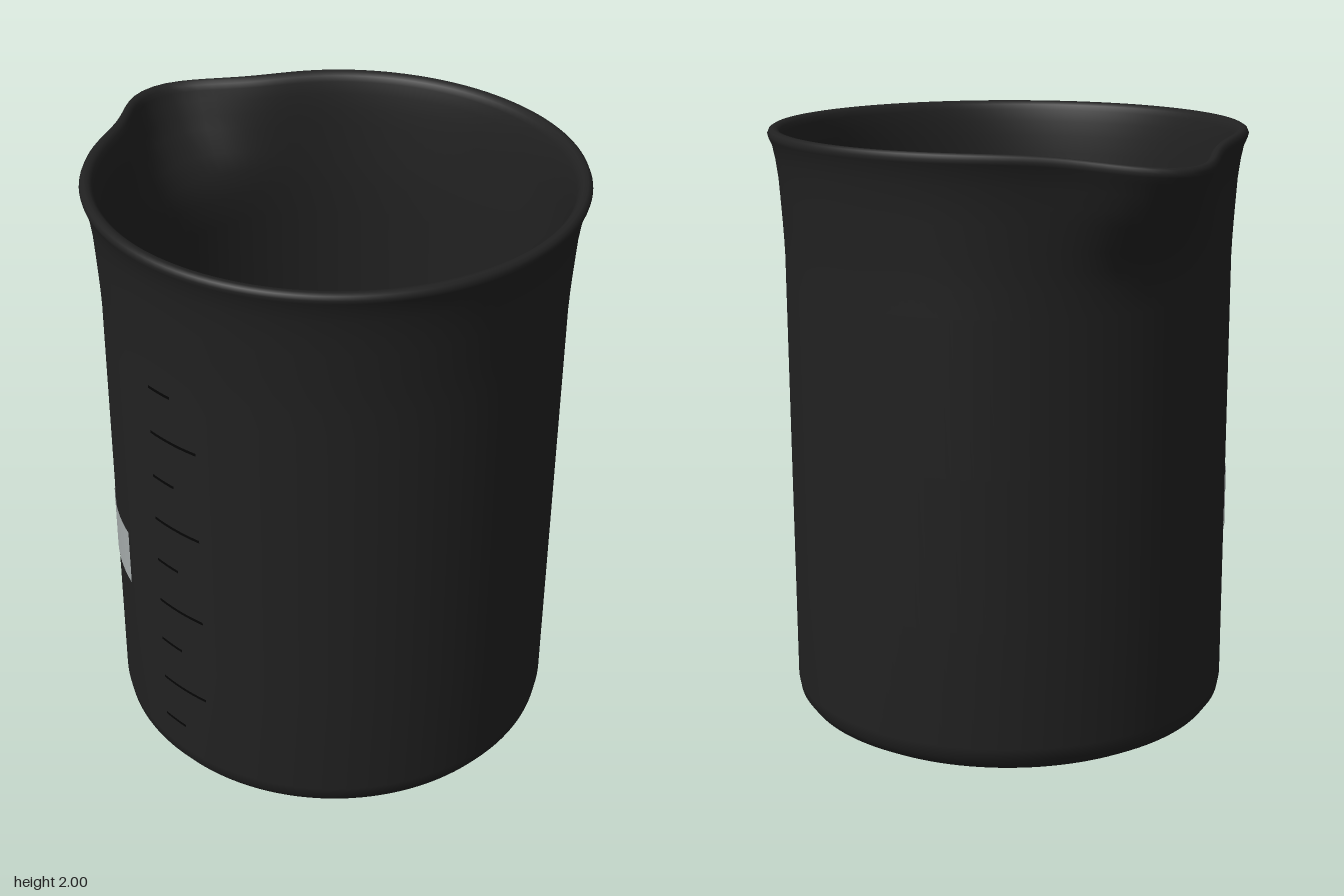
import * as THREE from 'three';
import { mergeVertices } from 'three/addons/utils/BufferGeometryUtils.js';

const CENTRE_X = 0.085;
const RADIUS = 0.74;
const SPOUT_REACH = 0.17;

const material = (name, color) => {
  const m = new THREE.MeshStandardMaterial({ color });
  m.name = name;
  return m;
};

// How far the spout has opened at height y (0 to 1)
function spoutOpening(y) {
  const steps = [[1.58, 0], [1.68, 0.16], [1.82, 0.75], [1.95, 1]];
  if (y <= steps[0][0]) return 0;
  for (let i = 1; i < steps.length; i++) {
    const [y0, v0] = steps[i - 1], [y1, v1] = steps[i];
    if (y < y1) return v0 + (v1 - v0) * (y - y0) / (y1 - y0);
  }
  return 1;
}

// Round vessel with a flared rim, pulled out into a spout on the -x side
function vesselGeometry() {
  const profile = [
    [0, 0], [0.5, 0], [0.61, 0.004], [0.67, 0.015], [0.71, 0.038], [0.733, 0.07], [0.74, 0.11],
    [0.74, 0.5], [0.74, 1], [0.74, 1.5], [0.74, 1.58], [0.742, 1.64], [0.745, 1.7], [0.75, 1.78], [0.754, 1.84],
    [0.762, 1.9], [0.771, 1.945], [0.782, 1.97], [0.785, 1.982], [0.78, 1.994], [0.77, 2],
    [0.756, 1.998], [0.745, 1.988], [0.737, 1.97], [0.728, 1.93], [0.72, 1.88], [0.714, 1.82],
    [0.708, 1.74], [0.704, 1.68], [0.7, 1.6], [0.7, 1.5], [0.7, 0.8], [0.7, 0.13], [0.68, 0.07], [0.62, 0.045], [0, 0.04],
  ].map(([r, y]) => new THREE.Vector2(r, y));
  let geo = new THREE.LatheGeometry(profile, 128);
  const p = geo.attributes.position;
  for (let i = 0; i < p.count; i++) {
    const x = p.getX(i), y = p.getY(i), z = p.getZ(i);
    const r = Math.hypot(x, z);
    if (r < 0.5) continue;
    const angle = Math.atan2(z, -x);
    const scale = 1 + SPOUT_REACH * spoutOpening(y) * Math.exp(-((angle / 0.267) ** 2)) / r;
    const dip = 0.038 * Math.exp(-((angle / 0.36) ** 2)) * THREE.MathUtils.smoothstep(y, 1.75, 2);
    p.setXYZ(i, x * scale, y - dip, z * scale);
  }
  geo.deleteAttribute('normal');
  geo.deleteAttribute('uv');
  geo = mergeVertices(geo, 1e-5);
  geo.computeVertexNormals();
  return geo;
}

export function createModel() {
  const group = new THREE.Group();
  const body = material('dark glass', 0x212121);
  const blue = material('blue liquid', 0x0e2f74);
  const grey = material('label grey', 0xa6acac);
  const black = material('marking black', 0x050505);
  grey.side = black.side = THREE.DoubleSide;

  const add = (name, geo, mat, y = 0) => {
    const mesh = new THREE.Mesh(geo, mat);
    mesh.name = name;
    mesh.position.set(CENTRE_X, y, 0);
    group.add(mesh);
    return mesh;
  };
  // Thin curved plate wrapped on the wall; angles run from the front towards +x
  const wrap = (name, mat, from, to, y, height) => add(name,
    new THREE.CylinderGeometry(RADIUS + 0.003, RADIUS + 0.003, height, 16, 1, true, from, to - from), mat, y);

  add('vessel', vesselGeometry(), body);

  // Liquid filling the lower half
  const liquidTop = 1.03, liquidBase = 0.13;
  add('liquid', new THREE.CylinderGeometry(0.699, 0.699, liquidTop - liquidBase, 128),
    blue, (liquidTop + liquidBase) / 2);

  // Blank label patch
  wrap('label', grey, -0.777, -0.273, 0.742, 0.205);

  // Graduation marks, alternating long and short
  for (let i = 0; i < 10; i++) {
    const long = i % 2 === 1;
    wrap(long ? 'longMark' : 'shortMark', black, 0, long ? 0.26 : 0.13, 0.218 + i * 0.1625, 0.01);
  }
  return group;
}
